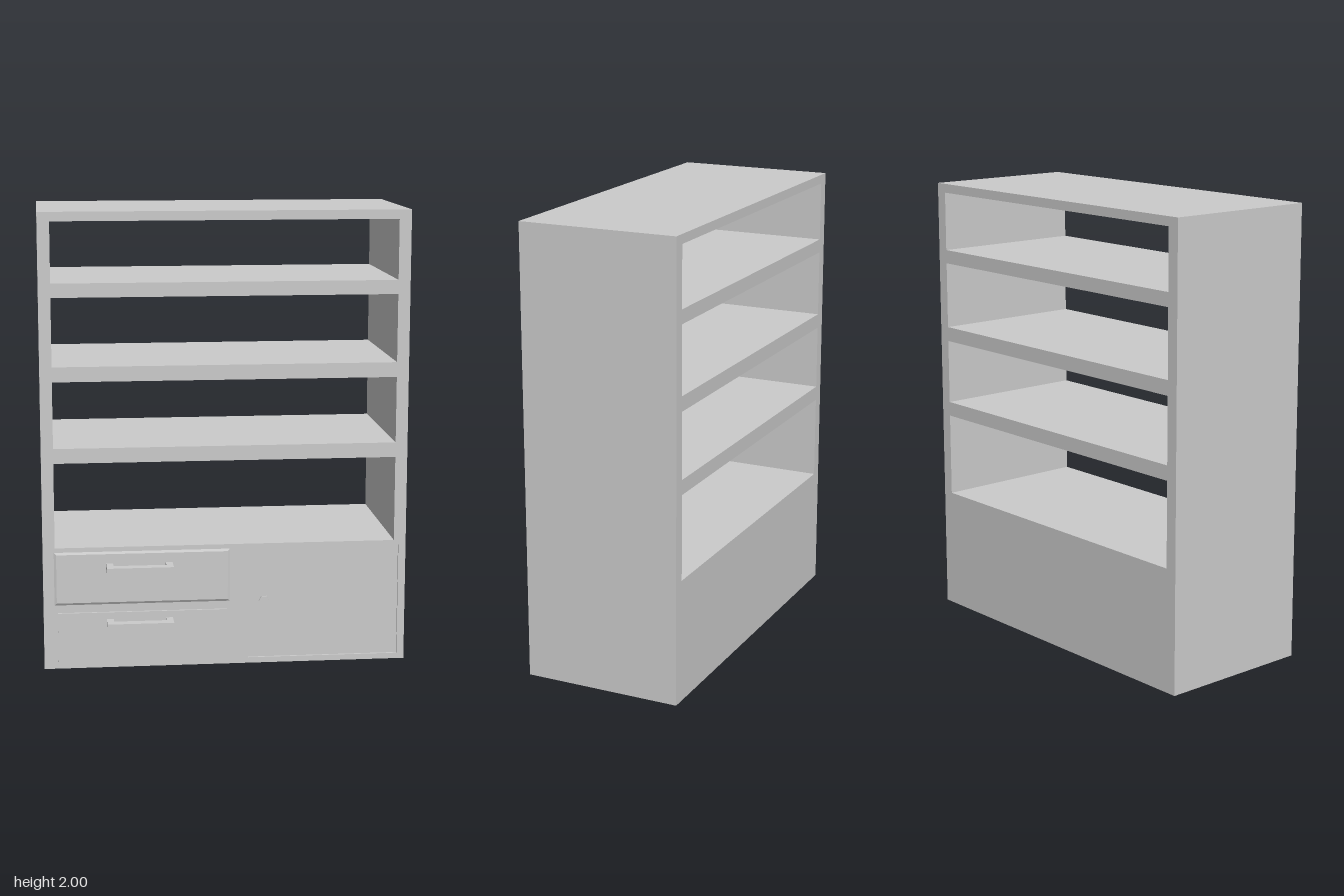
import * as THREE from 'three';

const material = new THREE.MeshStandardMaterial({ color: 0xcccccc, flatShading: true });
const FRONT = 0.305, BACK = -0.4, RECESS = 0.01;

function addMesh(parent, name, geometry, x = 0, y = 0, z = 0) {
  const mesh = new THREE.Mesh(geometry, material);
  mesh.name = name;
  mesh.position.set(x, y, z);
  parent.add(mesh);
  return mesh;
}

// Rectangle outline given by its limits
function rect(Type, x0, x1, y0, y1) {
  const path = new Type();
  path.moveTo(x0, y0);
  path.lineTo(x1, y0);
  path.lineTo(x1, y1);
  path.lineTo(x0, y1);
  path.closePath();
  return path;
}

// Cabinet slab with openings running through its depth
function slab(holes, depth) {
  const shape = rect(THREE.Shape, -0.8, 0.8, 0, 2);
  holes.forEach((h) => shape.holes.push(rect(THREE.Path, ...h)));
  return new THREE.ExtrudeGeometry(shape, { depth, bevelEnabled: false });
}

// Drawer front whose face is inset from its base by a bevel
function drawerFront(parent, name, x0, x1, y0, y1, thickness, bevel) {
  const w = x1 - x0, h = y1 - y0;
  const geometry = new THREE.BoxGeometry(w, h, thickness);
  const p = geometry.attributes.position;
  for (let i = 0; i < p.count; i++) {
    if (p.getZ(i) > 0) {
      p.setX(i, p.getX(i) * (1 - 2 * bevel / w));
      p.setY(i, p.getY(i) * (1 - 2 * bevel / h));
    }
  }
  geometry.computeVertexNormals();
  addMesh(parent, name, geometry, (x0 + x1) / 2, (y0 + y1) / 2, FRONT + thickness / 2);
}

// U-shaped pull handle, drawn in plan and extruded upwards
function handle(parent, name, y) {
  const shape = new THREE.Shape([
    [-0.145, 0], [-0.115, 0], [-0.115, 0.052], [0.115, 0.052],
    [0.115, 0], [0.145, 0], [0.145, 0.095], [-0.145, 0.095],
  ].map(([x, z]) => new THREE.Vector2(x, z)));
  const geometry = new THREE.ExtrudeGeometry(shape, { depth: 0.026, bevelEnabled: false });
  geometry.rotateX(Math.PI / 2);
  addMesh(parent, name, geometry, -0.38, y + 0.013, FRONT);
}

export function createModel() {
  const group = new THREE.Group();
  group.name = 'bookcase';

  // Carcass with four open shelves, and a thin front layer recessed at the door
  const shelves = [[0.545, 0.92], [0.985, 1.275], [1.34, 1.637], [1.698, 1.96]]
    .map(([y0, y1]) => [-0.747, 0.747, y0, y1]);
  const door = [0.1, 0.768, 0.025, 0.523];
  addMesh(group, 'carcass', slab(shelves, FRONT - RECESS - BACK), 0, 0, BACK);
  addMesh(group, 'frontFrame', slab([...shelves, door], RECESS), 0, 0, FRONT - RECESS);

  // Drawers
  drawerFront(group, 'upperDrawer', -0.752, 0.018, 0.288, 0.525, 0.006, 0.01);
  drawerFront(group, 'lowerDrawer', -0.738, 0.005, 0.025, 0.253, 0.01, 0);
  handle(group, 'upperHandle', 0.46);
  handle(group, 'lowerHandle', 0.21);

  // Six-sided door knob
  const knob = new THREE.CylinderGeometry(0.023, 0.023, RECESS, 6);
  knob.rotateY(Math.PI / 6).rotateX(Math.PI / 2);
  addMesh(group, 'doorKnob', knob, 0.17, 0.283, FRONT - RECESS / 2);

  return group;
}
